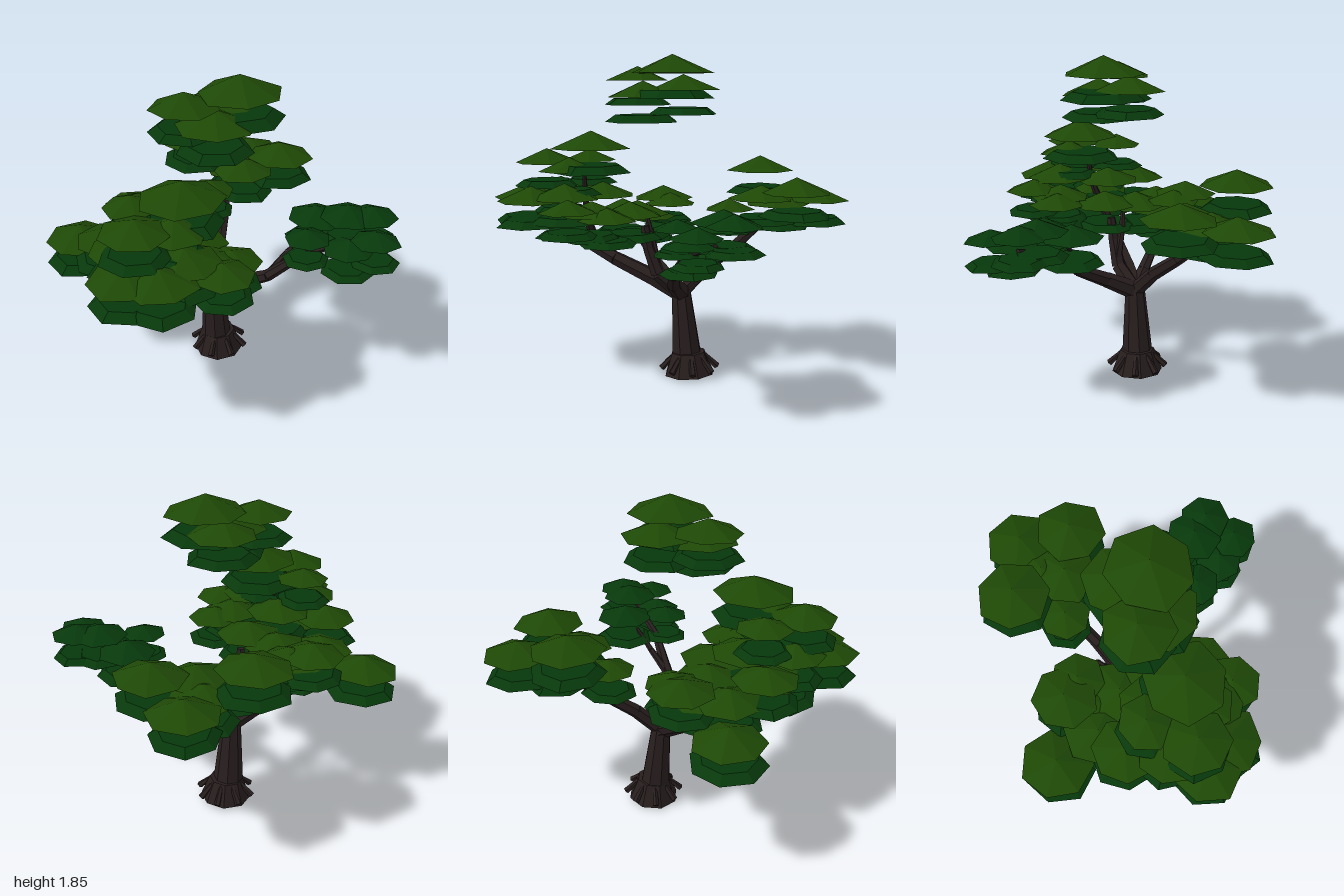
import * as THREE from 'three';

const mat = (name, color) => {
  const m = new THREE.MeshStandardMaterial({ color, flatShading: true });
  m.name = name;
  return m;
};

export function createModel() {
  const tree = new THREE.Group();
  tree.name = 'tree';
  const bark = mat('bark', 0x281e1e);
  const leaf = mat('leaf green', 0x1e4806);
  const dark = mat('deep green', 0x07380b);

  let seed = 7;
  const rand = () => (seed = (seed * 16807) % 2147483647) / 2147483647;

  const add = (parent, name, geo, material) => {
    const m = new THREE.Mesh(geo, material);
    m.name = name;
    parent.add(m);
    return m;
  };

  // Tapered limb segment between two points
  const limb = (parent, name, a, b, ra, rb, sides = 7) => {
    const p = new THREE.Vector3(...a), q = new THREE.Vector3(...b);
    const d = q.clone().sub(p);
    const m = add(parent, name, new THREE.CylinderGeometry(rb, ra, d.length(), sides), bark);
    m.position.copy(p).addScaledVector(d, 0.5);
    m.quaternion.setFromUnitVectors(new THREE.Vector3(0, 1, 0), d.normalize());
  };

  // Trunk with flared foot and stubby roots
  const trunk = new THREE.Group();
  trunk.name = 'trunk';
  tree.add(trunk);
  limb(trunk, 'trunkFoot', [-0.02, 0, -0.075], [-0.025, 0.13, -0.07], 0.148, 0.1, 8);
  limb(trunk, 'trunkStem', [-0.035, 0.1, -0.065], [-0.05, 0.5, -0.035], 0.09, 0.056, 8);
  for (let i = 0; i < 8; i++) {
    const a = (i + 0.3) / 8 * Math.PI * 2, c = Math.cos(a), s = Math.sin(a);
    limb(trunk, 'root', [-0.02 + c * 0.08, 0.12, -0.075 + s * 0.08],
      [-0.02 + c * 0.165, 0.035, -0.075 + s * 0.165], 0.012, 0.02, 5);
  }

  // Branches: path points, start radius, end radius
  const top = [-0.05, 0.48, -0.035];
  const branches = [
    [[top, [0.1, 0.57, 0.06], [0.27, 0.66, 0.12], [0.48, 0.82, 0.12], [0.78, 0.91, 0.09]], 0.055, 0.014],
    [[top, [-0.16, 0.56, 0.1], [-0.3, 0.66, 0.29], [-0.48, 0.78, 0.48]], 0.058, 0.035],
    [[[-0.38, 0.72, 0.38], [-0.33, 0.88, 0.44], [-0.28, 1.02, 0.47], [-0.26, 1.18, 0.48]], 0.03, 0.012],
    [[top, [-0.18, 0.56, 0.0], [-0.36, 0.66, 0.05], [-0.58, 0.78, 0.08]], 0.045, 0.02],
    [[top, [-0.03, 0.62, -0.18], [-0.01, 0.75, -0.36], [0.0, 0.88, -0.52]], 0.045, 0.028],
    [[top, [-0.07, 0.6, 0.1], [-0.09, 0.75, 0.15], [-0.09, 0.88, 0.17]], 0.05, 0.025],
    [[[-0.07, 0.65, 0.11], [-0.13, 0.82, 0.12], [-0.17, 0.95, 0.14]], 0.03, 0.01],
    [[[0.27, 0.66, 0.12], [0.38, 0.78, 0.05], [0.5, 0.88, 0.0]], 0.025, 0.01],
  ];
  for (const [path, r0, r1] of branches) {
    const branch = new THREE.Group();
    branch.name = 'branch';
    tree.add(branch);
    const n = path.length - 1;
    const r = (i) => r0 + (r1 - r0) * i / n;
    for (let i = 0; i < n; i++) limb(branch, 'branchSegment', path[i], path[i + 1], r(i), r(i + 1), 6);
  }

  // Irregular flat-bottomed pad: ring corners vary a little in radius
  const padGeometry = (rTop, rBottom, h) => {
    const sides = 7, g = new THREE.CylinderGeometry(rTop, rBottom, h, sides, 1);
    const k = Array.from({ length: sides }, () => 0.97 + rand() * 0.12);
    const p = g.attributes.position;
    for (let i = 0; i < p.count; i++) {
      const x = p.getX(i), z = p.getZ(i);
      if (Math.hypot(x, z) < 1e-5) continue;
      const c = k[(Math.round(Math.atan2(x, z) / (Math.PI * 2) * sides) + sides) % sides];
      p.setXYZ(i, x * c, p.getY(i), z * c);
    }
    g.translate(0, h / 2, 0);
    return g;
  };

  // Cone pad above a shallow dark pad: [x, base y, z, radius]
  const foliage = (name, pads, topMaterial) => {
    const group = new THREE.Group();
    group.name = name;
    tree.add(group);
    for (const [x, y, z, r] of pads) {
      const upper = add(group, 'leafPad', padGeometry(0, r, r * 0.45), topMaterial);
      upper.position.set(x, y, z);
      upper.rotation.y = rand() * 6.28;
      const lower = add(group, 'underPad', padGeometry(r * 0.74, r * 1.02, r * 0.2), dark);
      lower.position.set(x, y - 0.135, z);
      lower.rotation.y = rand() * 6.28;
    }
  };

  foliage('crownFoliage', [
    [0.1, 1.74, 0.07, 0.225], [-0.18, 1.7, 0.18, 0.18],
    [0.0, 1.65, -0.03, 0.19], [-0.02, 1.61, 0.2, 0.2],
  ], leaf);
  foliage('backFoliage', [
    [-0.2, 1.165, -0.6, 0.195], [0.32, 1.085, -0.58, 0.195], [0.13, 1.015, -0.8, 0.185],
    [0.1, 1.03, -0.47, 0.18], [-0.09, 0.95, -0.35, 0.145], [0.05, 0.99, -0.6, 0.18],
  ], leaf);
  foliage('frontFoliage', [
    [-0.17, 1.325, 0.46, 0.22], [-0.38, 1.235, 0.67, 0.18], [-0.44, 1.235, 0.4, 0.15],
    [-0.2, 1.2, 0.58, 0.17], [-0.25, 1.03, 0.79, 0.19], [-0.42, 1.03, 0.77, 0.19],
    [0.05, 1.0, 0.65, 0.155], [0.08, 0.95, 0.44, 0.155], [-0.58, 1.01, 0.36, 0.175],
    [-0.15, 1.05, 0.62, 0.19], [-0.42, 0.92, 0.54, 0.19], [-0.3, 1.04, 0.36, 0.18],
    [-0.48, 1.07, 0.57, 0.16], [-0.02, 0.97, 0.5, 0.17],
  ], leaf);
  foliage('sideFoliage', [
    [-0.8, 0.83, 0.06, 0.2], [-0.5, 0.98, -0.08, 0.175], [-0.37, 0.96, -0.08, 0.155],
    [-0.55, 0.9, 0.17, 0.18], [-0.3, 0.92, 0.15, 0.18], [-0.13, 0.94, 0.25, 0.18],
    [-0.42, 0.88, 0.06, 0.18],
  ], leaf);
  foliage('smallFoliage', [
    [0.71, 1.01, 0.02, 0.155], [0.84, 1.01, 0.02, 0.145], [0.54, 0.95, -0.06, 0.165],
    [0.85, 0.965, 0.21, 0.13], [0.71, 0.9, 0.2, 0.14], [0.48, 0.95, 0.18, 0.125],
  ], dark);

  return tree;
}
